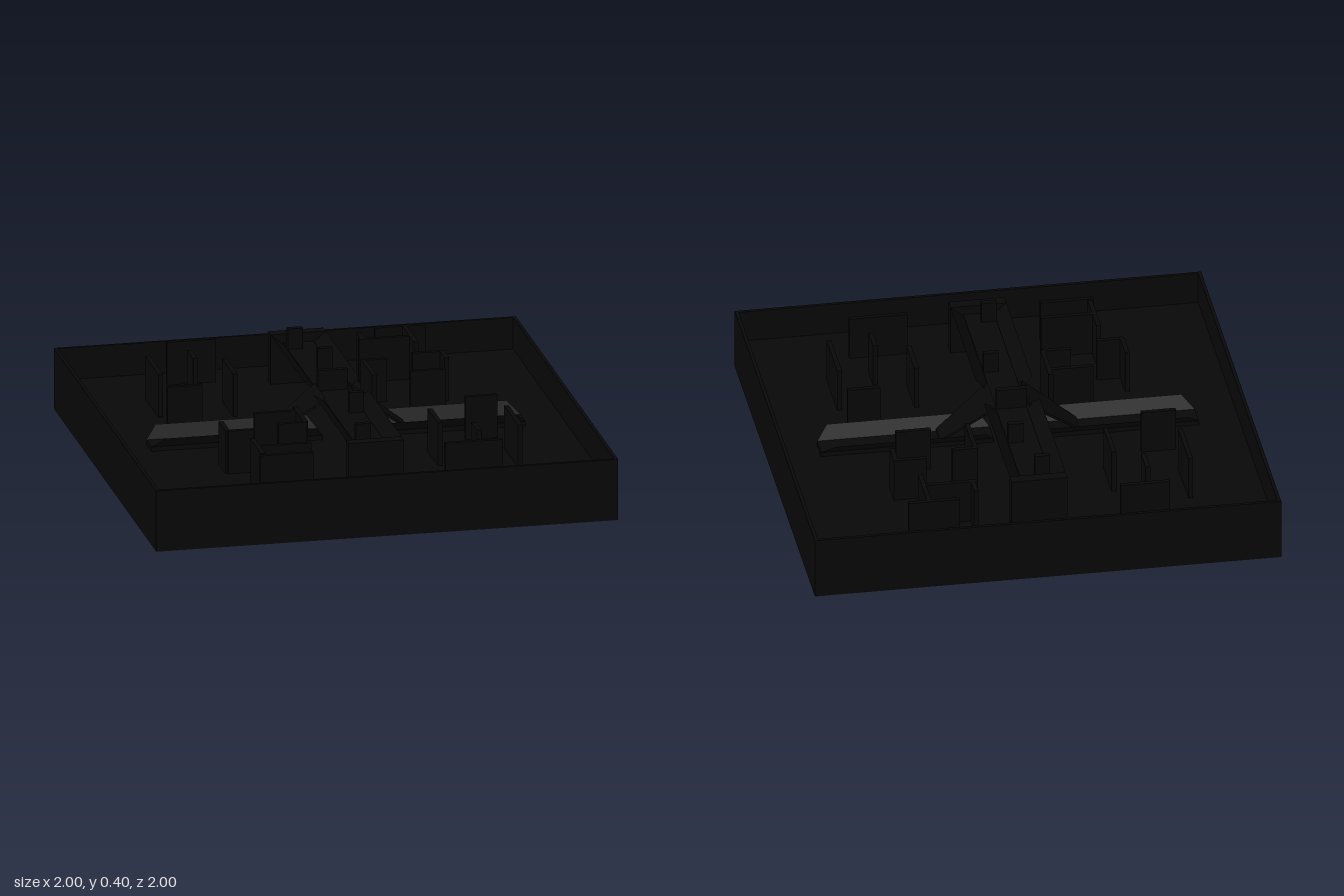
import * as THREE from 'three';

const FLOOR = 0.13, RIM = 0.27, COVER = 0.32, DECK = 0.3, LANE = 0.15;

export function createModel() {
  const model = new THREE.Group();
  const mat = new THREE.MeshStandardMaterial({ color: 0x080808, side: THREE.DoubleSide, flatShading: true });
  const baseMat = new THREE.MeshStandardMaterial({ color: 0x484848 });

  const add = (name, geo, parent = model, material = mat) => {
    const mesh = new THREE.Mesh(geo, material);
    mesh.name = name;
    parent.add(mesh);
    return mesh;
  };
  // Box given by its limits on each axis
  const box = (name, x0, x1, y0, y1, z0, z1, parent, material) => {
    const geo = new THREE.BoxGeometry(x1 - x0, y1 - y0, z1 - z0);
    geo.translate((x0 + x1) / 2, (y0 + y1) / 2, (z0 + z1) / 2);
    return add(name, geo, parent, material);
  };
  // Flat four-cornered panel
  const panel = (name, a, b, c, d, parent) => {
    const geo = new THREE.BufferGeometry();
    geo.setAttribute('position', new THREE.Float32BufferAttribute([...a, ...b, ...c, ...d], 3));
    geo.setIndex([0, 1, 2, 0, 2, 3]);
    geo.computeVertexNormals();
    return add(name, geo, parent);
  };

  // Tray: lighter underside, solid floor and a thin rim wall
  box('underside', -1, 1, 0, 0.002, -1, 1, model, baseMat);
  box('floor', -1, 1, 0.002, FLOOR, -1, 1);
  for (const s of [-1, 1]) {
    const lo = s < 0 ? -1 : 0.985, hi = s < 0 ? -0.985 : 1;
    box('sideRim', lo, hi, FLOOR, RIM, -1, 1);
    box('endRim', -0.985, 0.985, FLOOR, RIM, lo, hi);
  }

  // Raised central walkway with end towers; flared parapets leave a gap for the ramps
  const walkway = new THREE.Group();
  walkway.name = 'walkway';
  model.add(walkway);
  box('walkwayDeck', -0.065, 0.065, DECK, DECK + 0.01, -0.74, 0.74, walkway);
  for (const s of [-1, 1]) {
    box('endTower', -0.12, 0.12, FLOOR, 0.35, s * 0.76 - 0.025, s * 0.76 + 0.025, walkway);
    for (const t of [-1, 1]) {
      panel('walkwayParapet', [s * 0.06, DECK, t * 0.74], [s * 0.06, DECK, t * 0.05],
        [s * 0.12, 0.35, t * 0.1], [s * 0.12, 0.35, t * 0.74], walkway);
    }
  }

  // Low cover plates standing on the walkway, staggered from side to side
  [[0.67, -0.065, 0], [0.245, 0, 0.065], [-0.075, -0.065, 0.065], [-0.37, 0, 0.065], [-0.66, -0.065, 0]]
    .forEach(([z, x0, x1]) => box('walkwayCover', x0, x1, DECK, 0.4, z - 0.0125, z + 0.0125, walkway));

  // Side lanes: steep ramp down from the walkway into a low channel
  for (const s of [-1, 1]) {
    const lane = new THREE.Group();
    lane.name = 'sideLane';
    model.add(lane);
    for (const drop of [0, 0.012]) {
      panel('ramp', [s * 0.07, 0.335 - drop, 0.1], [s * 0.115, 0.3 - drop, 0.1],
        [s * 0.115, 0.3 - drop, -0.1], [s * 0.07, 0.335 - drop, -0.1], lane);
      panel('ramp', [s * 0.115, 0.3 - drop, 0.1], [s * 0.3, LANE + 0.012 - drop, 0.05],
        [s * 0.3, LANE + 0.012 - drop, -0.05], [s * 0.115, 0.3 - drop, -0.1], lane);
    }
    box('laneDeck', Math.min(s * 0.07, s * 0.81), Math.max(s * 0.07, s * 0.81),
      FLOOR, LANE, -0.05, 0.05, lane);
    for (const t of [-1, 1]) {
      // Solid ramp edge
      panel('rampEdge', [s * 0.115, 0.3, t * 0.1], [s * 0.3, LANE + 0.012, t * 0.05],
        [s * 0.3, LANE, t * 0.05], [s * 0.115, 0.288, t * 0.1], lane);
      panel('laneParapet', [s * 0.07, LANE, t * 0.05], [s * 0.81, LANE, t * 0.05],
        [s * 0.76, LANE + 0.05, t * 0.1], [s * 0.11, LANE + 0.05, t * 0.1], lane);
    }
  }

  // Cover walls along x: [start, end, z]
  const T = 0.01;
  [[-0.55, -0.34, -0.83], [-0.68, -0.53, -0.23],
    [0.35, 0.57, -0.83], [0.25, 0.48, -0.69], [0.37, 0.52, -0.22], [0.43, 0.56, -0.46],
    [0.21, 0.31, -0.41], [-0.56, -0.45, 0.41], [-0.33, -0.21, 0.36], [-0.4, -0.21, 0.2],
    [-0.48, -0.25, 0.64], [-0.5, -0.27, 0.77],
    [0.52, 0.66, 0.17], [0.3, 0.55, 0.77]]
    .forEach(([a, b, z]) => box('coverWall', a, b, FLOOR, COVER, z - T, z + T));

  // Cover walls along z: [start, end, x]
  [[-0.7, -0.58, -0.48], [-0.66, -0.4, -0.67], [-0.55, -0.34, -0.36],
    [-0.82, -0.6, 0.48], [-0.78, -0.69, 0.27], [-0.47, -0.36, 0.56], [-0.42, -0.2, 0.21],
    [0.28, 0.41, -0.56], [0.15, 0.36, -0.21], [0.53, 0.75, -0.48],
    [0.33, 0.6, 0.665], [0.3, 0.5, 0.34], [0.52, 0.63, 0.48]]
    .forEach(([a, b, x]) => box('coverWall', x - T, x + T, FLOOR, COVER, a, b));

  return model;
}
